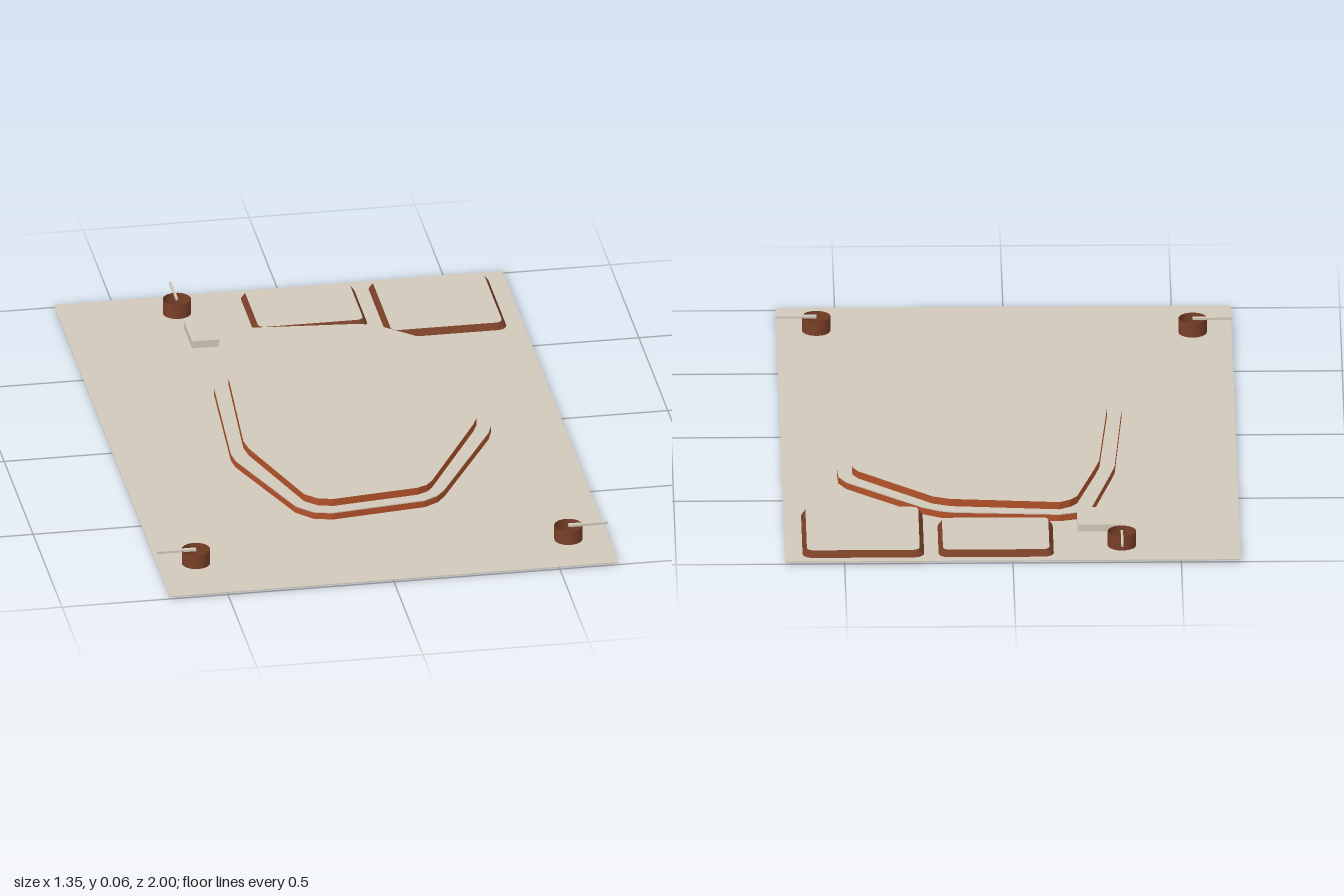
import * as THREE from 'three';

const SHEET = 0.008, PLATE = 0.027, TERRACE = 0.031, TOP = 0.054, GAUGE = 0.003;

export function createModel() {
  const model = new THREE.Group();
  model.name = 'reliefPanel';

  function makeMaterial(name, color) {
    const material = new THREE.MeshStandardMaterial({ color, side: THREE.DoubleSide });
    material.name = name;
    return material;
  }
  const stone = makeMaterial('stone', 0xd1c9bb);
  const sienna = makeMaterial('sienna', 0xb4522a);
  const brown = makeMaterial('brown', 0x7a4028);

  function add(name, geometry, material, x = 0, y = 0, z = 0) {
    const mesh = new THREE.Mesh(geometry, material);
    mesh.name = name;
    mesh.position.set(x, y, z);
    model.add(mesh);
  }

  // Flat horizontal face from [x, z] outlines
  const toVectors = (pts) => pts.map(([x, z]) => new THREE.Vector2(x, -z));
  function face(name, outline, holes, y) {
    const shape = new THREE.Shape(toVectors(outline));
    holes.forEach((h) => shape.holes.push(new THREE.Path(toVectors(h))));
    add(name, new THREE.ShapeGeometry(shape).rotateX(-Math.PI / 2), stone, 0, y, 0);
  }

  // Strip of quads between a lower and an upper outline
  function wall(name, low, y0, high, y1, material, closed = true) {
    const v = [];
    const count = closed ? low.length : low.length - 1;
    for (let i = 0; i < count; i++) {
      const j = (i + 1) % low.length;
      const a0 = [low[i][0], y0, low[i][1]], b0 = [low[j][0], y0, low[j][1]];
      const a1 = [high[i][0], y1, high[i][1]], b1 = [high[j][0], y1, high[j][1]];
      v.push(...a0, ...a1, ...b1, ...a0, ...b1, ...b0);
    }
    const geometry = new THREE.BufferGeometry();
    geometry.setAttribute('position', new THREE.Float32BufferAttribute(v, 3));
    geometry.computeVertexNormals();
    add(name, geometry, material);
  }

  const circle = (cx, cz, r, n = 24) => Array.from({ length: n }, (_, i) => {
    const a = (i / n) * Math.PI * 2;
    return [cx + r * Math.cos(a), cz + r * Math.sin(a)];
  });

  function roundedRect(x0, x1, z0, z1, r) {
    const pts = [];
    [[x1 - r, z1 - r], [x0 + r, z1 - r], [x0 + r, z0 + r], [x1 - r, z0 + r]].forEach(([cx, cz], q) => {
      for (let i = 0; i <= 4; i++) {
        const a = (q + i / 4) * Math.PI / 2;
        pts.push([cx + r * Math.cos(a), cz + r * Math.sin(a)]);
      }
    });
    return pts;
  }

  // Lower terrace outline, then the square tab joined to its back corner
  const terrace = [
    [-0.195, -0.678], [-0.143, -0.693], [0.17, -0.672], [0.212, -0.66], [0.265, -0.63],
    [0.487, -0.43], [0.51, -0.385], [0.512, -0.333], [0.455, 0.07], [0.44, 0.116],
    [0.243, 0.476], [0.217, 0.51], [0.175, 0.535], [-0.11, 0.571], [-0.164, 0.556],
    [-0.21, 0.508], [-0.333, 0.175], [-0.339, 0.127], [-0.312, -0.317], [-0.30, -0.375],
    [-0.239, -0.64],
  ];
  const tab = [[-0.239, -0.64], [-0.322, -0.64], [-0.322, -0.777], [-0.195, -0.777], [-0.195, -0.678]];
  const terraceAll = [...terrace, ...tab.slice(1, -1)];

  // Upper plateau outline
  const plateau = [
    [-0.196, -0.61], [-0.175, -0.637], [-0.143, -0.656], [0.18, -0.626], [0.233, -0.605],
    [0.45, -0.405], [0.467, -0.375], [0.469, -0.344], [0.413, 0.06], [0.397, 0.1],
    [0.21, 0.455], [0.19, 0.48], [0.16, 0.495], [-0.10, 0.527], [-0.145, 0.515],
    [-0.18, 0.48], [-0.288, 0.15], [-0.296, 0.095], [-0.266, -0.33], [-0.25, -0.4],
  ];

  const plates = [[-0.122, 0.22, -0.972, -0.695], [0.263, 0.624, -0.972, -0.606]];
  const posts = [
    { x: -0.325, z: -0.885, dx: 0, dz: -1 },
    { x: -0.56, z: 0.79, dx: -1, dz: 0 },
    { x: 0.557, z: 0.82, dx: 1, dz: 0 },
  ];
  const R = 0.042, X = 0.676;

  // Base sheet with a thin edge, cut open beneath every raised part
  const border = [[-X, -1], [X, -1], [X, 1], [-X, 1]];
  const plateOutlines = plates.map((p) => roundedRect(...p, 0.03));
  face('baseSheet', border,
    [terraceAll, ...plateOutlines, ...posts.map((p) => circle(p.x, p.z, R))], SHEET);
  wall('sheetEdge', border, SHEET - GAUGE, border, SHEET, stone);

  // Stepped central relief
  wall('terraceWall', terrace, SHEET, terrace, TERRACE - GAUGE, sienna, false);
  wall('terraceLip', terrace, TERRACE - GAUGE, terrace, TERRACE, stone, false);
  wall('tabWall', tab, SHEET, tab, TERRACE, stone, false);
  face('terraceFace', terraceAll, [plateau], TERRACE);
  wall('plateauWall', plateau, TERRACE, plateau, TOP, sienna);
  face('plateauFace', plateau, [], TOP);

  // Rounded plates with sloping rims
  plates.forEach(([x0, x1, z0, z1], i) => {
    const d = 0.013;
    const inner = roundedRect(x0 + d, x1 - d, z0 + d, z1 - d, 0.02);
    wall('plateRim', plateOutlines[i], SHEET, inner, PLATE, brown);
    face('plateFace', inner, [], PLATE);
  });

  // Open tubes, each with a thin pointer running to the sheet edge
  posts.forEach(({ x, z, dx, dz }) => {
    const h = TOP - SHEET;
    add('tube', new THREE.CylinderGeometry(R, R, h, 24, 1, true), brown, x, SHEET + h / 2, z);
    const length = dx ? X - Math.abs(x) : 1 - Math.abs(z);
    add('pointer', new THREE.BoxGeometry(dx ? length : 0.007, 0.007, dz ? length : 0.012), stone,
      x + dx * length / 2, TOP - 0.001, z + dz * length / 2);
  });

  // Small feet and pips on the underside
  [[0.615, -0.255, 0], [-0.475, -0.262, 0], [-0.33, 0.893, 0], [0.365, -0.905, PLATE - SHEET]].forEach(([x, z, y]) => {
    add('foot', new THREE.BoxGeometry(0.022, SHEET, 0.02), stone, x, y + SHEET / 2 - 0.0002, z);
  });

  return model;
}
